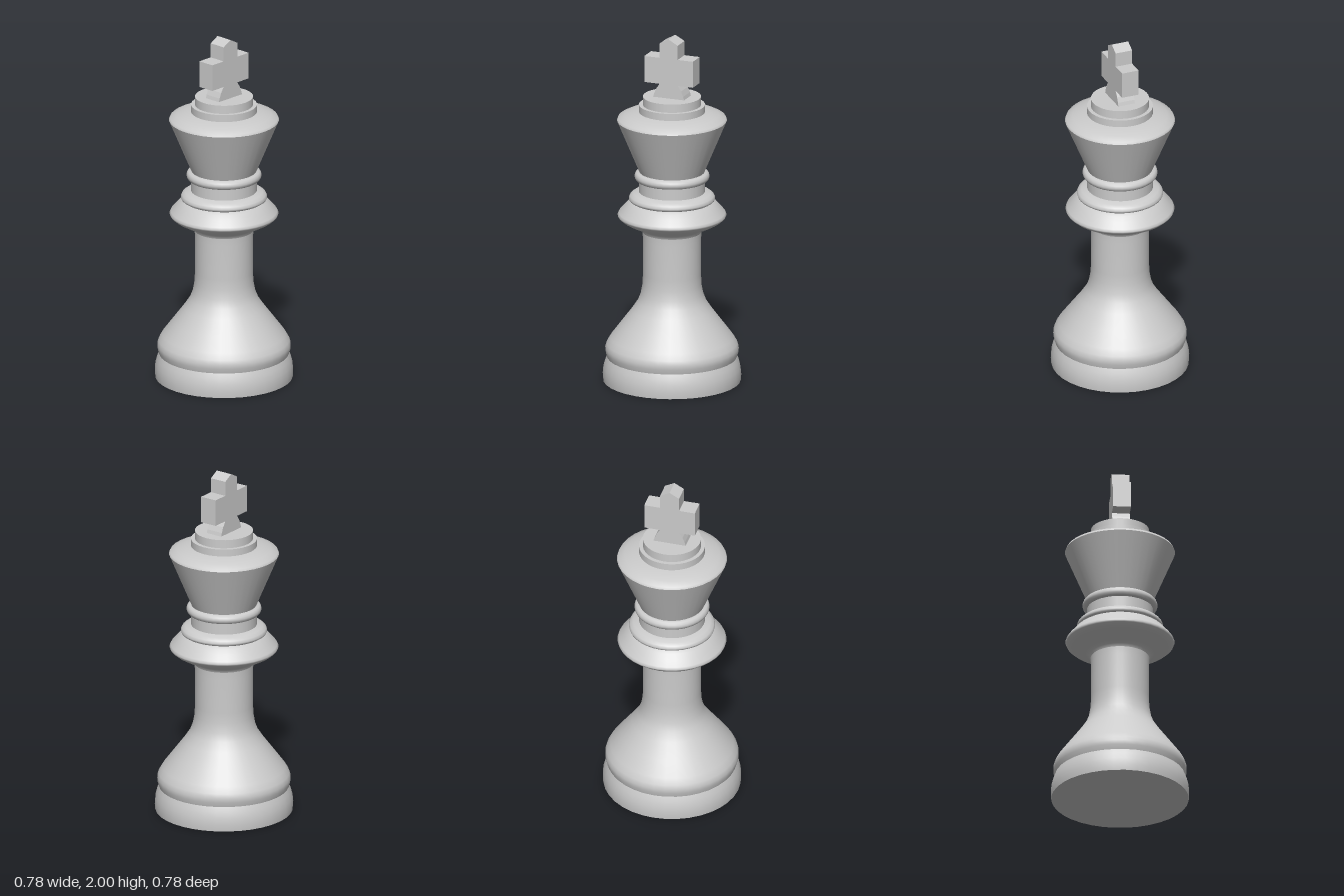
import * as THREE from 'three';

const material = new THREE.MeshStandardMaterial({ color: 0xcccccc });

// Turned section: [radius, height] pairs from bottom to top, smooth within a section
function turned(name, profile) {
  const points = profile.map(([r, y]) => new THREE.Vector2(r, y));
  const mesh = new THREE.Mesh(new THREE.LatheGeometry(points, 36), material);
  mesh.name = name;
  return mesh;
}

function createCross() {
  // Right half of the outline, from the foot to the tip
  const half = [
    [0.095, 1.65], [0.088, 1.675], [0.075, 1.705], [0.055, 1.735],
    [0.147, 1.735], [0.147, 1.887], [0.055, 1.887], [0.055, 1.97],
  ];
  const mirrored = half.map(([x, y]) => [-x, y]).reverse();
  const outline = [...half, [0, 2], ...mirrored].map(([x, y]) => new THREE.Vector2(x, y));
  const geometry = new THREE.ExtrudeGeometry(new THREE.Shape(outline), { depth: 0.1, bevelEnabled: false });
  geometry.translate(0, 0, -0.05);
  const mesh = new THREE.Mesh(geometry, material);
  mesh.name = 'cross';
  return mesh;
}

export function createModel() {
  const model = new THREE.Group();
  model.name = 'chessKing';

  model.add(
    // Foot
    turned('baseBottom', [[0, 0], [0.385, 0]]),
    turned('base', [[0.385, 0], [0.388, 0.035], [0.384, 0.075], [0.375, 0.11], [0.364, 0.138]]),
    // Bell-shaped body running into the straight stem
    turned('body', [
      [0.364, 0.138], [0.372, 0.165], [0.374, 0.19], [0.366, 0.215], [0.345, 0.25],
      [0.285, 0.33], [0.225, 0.41], [0.192, 0.46], [0.175, 0.505], [0.165, 0.56],
      [0.163, 0.62], [0.163, 0.82], [0.165, 0.865],
    ]),
    // Wide collar
    turned('collarUnderside', [
      [0.165, 0.865], [0.172, 0.882], [0.195, 0.896], [0.24, 0.915], [0.28, 0.937], [0.301, 0.955],
      [0.305, 0.965], [0.298, 0.978], [0.27, 1.01], [0.248, 1.035], [0.23, 1.047],
    ]),
    turned('collarRing', [
      [0.23, 1.047], [0.239, 1.053], [0.242, 1.064], [0.235, 1.078], [0.217, 1.091], [0.185, 1.1],
    ]),
    // Neck and its ring
    turned('neck', [[0.185, 1.1], [0.185, 1.166]]),
    turned('neckRing', [
      [0.185, 1.166], [0.2, 1.169], [0.208, 1.18], [0.21, 1.191], [0.207, 1.203], [0.199, 1.213], [0.183, 1.217],
    ]),
    // Flared head with domed rim
    turned('head', [[0.183, 1.217], [0.308, 1.517]]),
    turned('headRim', [[0.308, 1.517], [0.302, 1.53], [0.265, 1.548], [0.22, 1.56], [0.185, 1.566]]),
    // Stepped crown
    turned('lowerStep', [[0.185, 1.566], [0.185, 1.607]]),
    turned('lowerStepTop', [[0.185, 1.607], [0.163, 1.607]]),
    turned('upperStep', [[0.163, 1.607], [0.163, 1.655]]),
    turned('upperStepTop', [[0.163, 1.655], [0, 1.655]]),
    createCross(),
  );
  return model;
}
